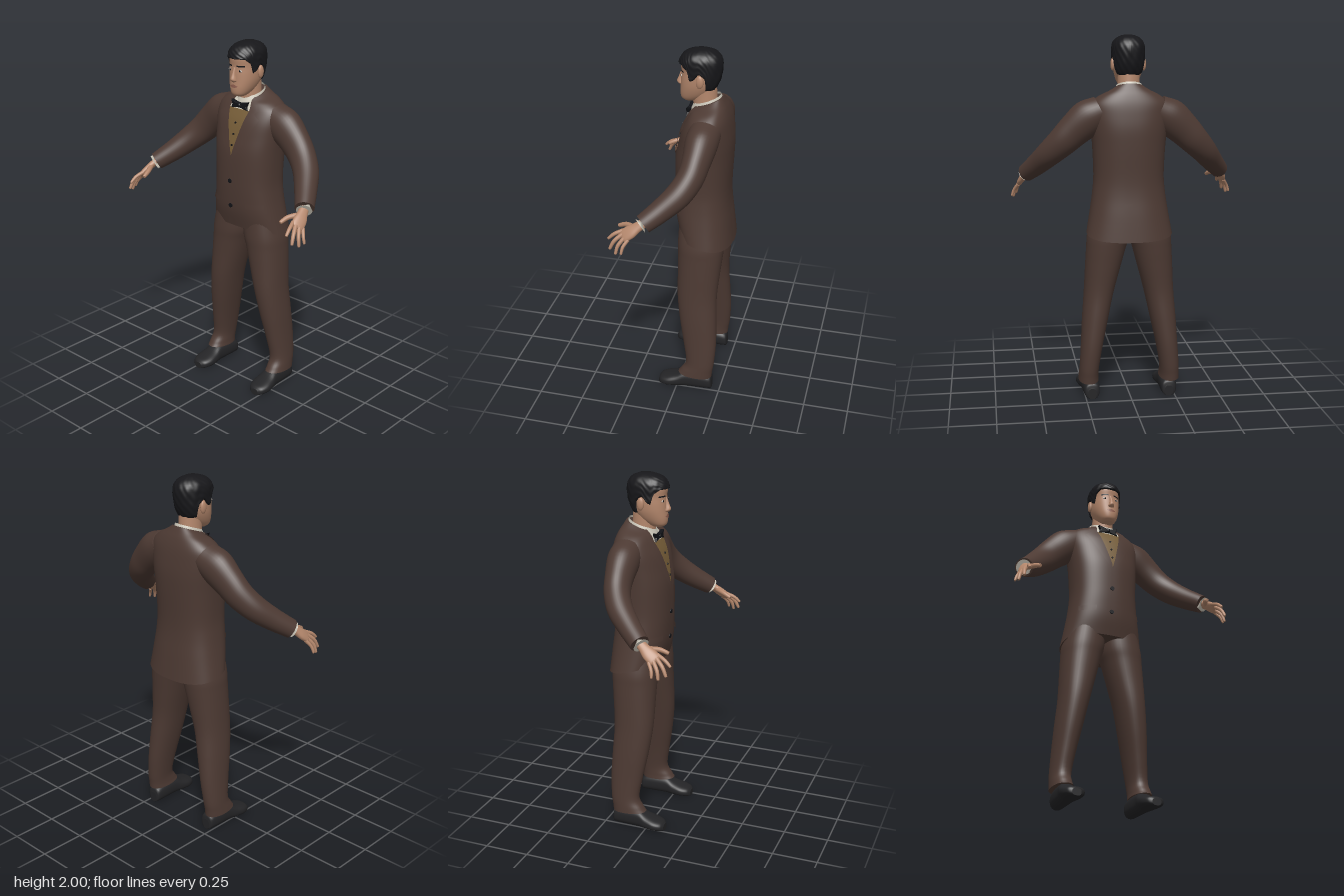
import * as THREE from 'three';

const mat = (name, color, side = THREE.FrontSide) => {
  const m = new THREE.MeshStandardMaterial({ color, side });
  m.name = name;
  return m;
};
const V = (x, y, z) => new THREE.Vector3(x, y, z);
const pw = (v, n) => Math.sign(v) * Math.abs(v) ** (2 / n);

function surface(positions, index) {
  const g = new THREE.BufferGeometry();
  g.setAttribute('position', new THREE.Float32BufferAttribute(positions, 3));
  g.setIndex(index);
  g.computeVertexNormals();
  return g;
}

// Smooth body: each ring has a centre c and two half-axes u and v
function body(rings, n = 2) {
  const curve = k => new THREE.CatmullRomCurve3(rings.map(r => r[k]), false, 'catmullrom', 0.5);
  const [c, u, v] = [curve('c'), curve('u'), curve('v')];
  return { n, count: rings.length, at: t => ({ c: c.getPoint(t), u: u.getPoint(t), v: v.getPoint(t) }) };
}

// Rings stacked upward: [y, half width, z front, z back, front lift, x centre]
const stack = (rows, n) => body(rows.map(([y, w, f, b, lift = 0, x = 0]) =>
  ({ c: V(x, y, (f + b) / 2), u: V(w, 0, 0), v: V(0, lift, (f - b) / 2) })), n);

// Rings along a path: radii [a, b], with a measured along the direction side
function limb(points, radii, side, n = 2) {
  const path = new THREE.CatmullRomCurve3(points, false, 'catmullrom', 0.5);
  return body(points.map((c, i) => {
    const T = path.getTangent(i / (points.length - 1));
    const B = side.clone().addScaledVector(T, -side.dot(T)).normalize();
    return { c, u: B.clone().multiplyScalar(radii[i][0]), v: T.cross(B).multiplyScalar(radii[i][1]) };
  }), n);
}

function loft(b, seg = 32, sub = 4, caps = true) {
  const pos = [], idx = [], rows = (b.count - 1) * sub;
  const m0 = b.at(0.5), m1 = b.at(0.52);
  const dir = m0.u.clone().cross(m0.v).dot(m1.c.clone().sub(m0.c)) > 0 ? -1 : 1;
  for (let i = 0; i <= rows; i++) {
    const r = b.at(i / rows);
    for (let j = 0; j < seg; j++) {
      const a = dir * j / seg * Math.PI * 2;
      pos.push(...r.c.clone().addScaledVector(r.u, pw(Math.cos(a), b.n)).addScaledVector(r.v, pw(Math.sin(a), b.n)));
    }
  }
  for (let i = 0; i < rows; i++) for (let j = 0; j < seg; j++) {
    const p = i * seg + j, q = i * seg + (j + 1) % seg;
    idx.push(p, p + seg, q, q, p + seg, q + seg);
  }
  if (caps) for (const end of [0, rows]) {
    const o = pos.length / 3;
    pos.push(...pos.slice(end * seg * 3, (end + 1) * seg * 3), ...b.at(end / rows).c);
    for (let j = 0; j < seg; j++) {
      const k = o + (j + 1) % seg;
      idx.push(o + seg, end ? k : o + j, end ? o + j : k);
    }
  }
  return surface(pos, idx);
}

// Point on the front (side 1) or back (side -1) of a stacked body
function onBody(b, x, y, side, off) {
  let lo = 0, hi = 1, p;
  for (let k = 0; k < 24; k++) {
    const t = (lo + hi) / 2, r = b.at(t);
    const s = side * (1 - Math.min(1, Math.abs(x / r.u.x)) ** b.n) ** (1 / b.n);
    p = V(x, r.c.y + r.v.y * s, r.c.z + r.v.z * s + side * off);
    if (p.y < y) lo = t; else hi = t;
  }
  return p;
}

// Piecewise-linear lookup in [key, value] pairs
function lookup(table, k) {
  let i = 1;
  while (i < table.length - 1 && table[i][0] < k) i++;
  const [a, b] = [table[i - 1], table[i]];
  return THREE.MathUtils.lerp(a[1], b[1], THREE.MathUtils.clamp((k - a[0]) / (b[0] - a[0]), 0, 1));
}

// Thin panel lying on a body; its edges are [y, x] tables
function panel(b, y0, y1, e0, e1, off = 0.005, side = 1, ny = 16, nx = 8) {
  const pos = [], idx = [];
  for (let i = 0; i <= ny; i++) {
    const y = y0 + (y1 - y0) * i / ny, xs = [lookup(e0, y), lookup(e1, y)].sort((a, c) => a - c);
    for (let j = 0; j <= nx; j++) pos.push(...onBody(b, xs[0] + (xs[1] - xs[0]) * j / nx, y, side, off));
  }
  for (let i = 0; i < ny; i++) for (let j = 0; j < nx; j++) {
    const p = i * (nx + 1) + j, q = p + nx + 1;
    if (side > 0) idx.push(p, p + 1, q, p + 1, q + 1, q);
    else idx.push(p, q, p + 1, p + 1, q, q + 1);
  }
  return surface(pos, idx);
}
const strip = (b, x0, x1, y0, y1, off, side) =>
  panel(b, y0, y1, [[y0, x0], [y1, x0]], [[y0, x1], [y1, x1]], off, side, 6, 6);

export function createModel() {
  const suit = mat('brown suit', 0x4d3a33, THREE.DoubleSide), skin = mat('skin', 0xb4876c);
  const hairMat = mat('black hair', 0x17171a, THREE.DoubleSide), leather = mat('black leather', 0x242426);
  const linen = mat('shirt linen', 0xcdc8ba, THREE.DoubleSide), gold = mat('ochre waistcoat', 0x765d38);
  const dark = mat('black cloth', 0x121317), lip = mat('lip', 0x8f5f50), white = mat('eye white', 0xc9bfb5);
  const model = new THREE.Group();
  const add = (name, geo, material, p) => {
    const m = new THREE.Mesh(geo, material);
    m.name = name;
    if (p) m.position.copy(p);
    model.add(m);
    return m;
  };
  const ball = (name, p, sx, sy, sz, material) =>
    add(name, new THREE.SphereGeometry(1, 20, 14), material, p).scale.set(sx, sy, sz);

  // Jacket
  const torso = stack([
    [0.935, 0.235, 0.02, -0.275, 0.035], [1.05, 0.215, 0.042, -0.262, 0.015], [1.15, 0.2, 0.05, -0.25],
    [1.25, 0.192, 0.053, -0.248], [1.4, 0.198, 0.05, -0.255], [1.5, 0.207, 0.032, -0.257],
    [1.58, 0.215, 0.01, -0.25], [1.64, 0.208, -0.018, -0.24], [1.68, 0.165, -0.035, -0.225, -0.008],
    [1.705, 0.11, -0.045, -0.208, -0.018], [1.722, 0.076, -0.05, -0.195, -0.025]], 2.4);
  add('jacket', loft(torso, 64, 5), suit);
  add('frontOverlap', panel(torso, 0.99, 1.39, [[0.99, 0.02], [1.1, -0.018], [1.39, -0.008]],
    [[0.99, 0.06], [1.39, 0.03]], 0.004), suit);
  add('backVent', strip(torso, 0, 0.045, 0.91, 1.11, 0.006, -1), suit);
  add('waistcoat', panel(torso, 1.39, 1.645, [[1.39, -0.002], [1.645, -0.075]], [[1.39, 0.002], [1.645, 0.075]], 0.003), gold);
  add('shirtFront', panel(torso, 1.64, 1.695, [[1.64, -0.072], [1.695, -0.055]], [[1.64, 0.072], [1.695, 0.055]], 0.004), linen);
  const button = (y, x, r) => {
    add('button', new THREE.CylinderGeometry(r, r, 0.006, 16), dark, onBody(torso, x, y, 1, 0.006)).rotation.x = Math.PI / 2;
  };
  [1.245, 1.1].forEach(y => button(y, -0.006, 0.012));
  [1.45, 1.51, 1.57].forEach(y => button(y, 0, 0.005));

  // Shirt collar and bow tie
  add('shirtCollar', loft(stack([[1.675, 0.078, -0.018, -0.19, -0.028], [1.71, 0.075, -0.03, -0.19, -0.03],
    [1.732, 0.07, -0.04, -0.184, -0.026]], 2), 40, 4, false), linen);
  const bow = new THREE.Shape([[-0.055, -0.02], [-0.045, 0], [-0.055, 0.022], [-0.012, 0.01], [0.012, 0.01],
    [0.055, 0.022], [0.045, 0], [0.055, -0.02], [0.012, -0.01], [-0.012, -0.01]].map(p => new THREE.Vector2(...p)));
  add('bowTie', new THREE.ExtrudeGeometry(bow, { depth: 0.014, bevelSize: 0.003, bevelThickness: 0.004, bevelSegments: 2 }),
    dark, V(0, 1.66, -0.026));
  ball('bowKnot', V(0, 1.66, -0.014), 0.013, 0.014, 0.013, dark);

  // Head and neck
  add('neck', loft(stack([[1.64, 0.064, -0.04, -0.17], [1.72, 0.06, -0.035, -0.165], [1.8, 0.06, -0.03, -0.16]]), 32), skin);
  const head = stack([[1.716, 0.028, 0.012, -0.05], [1.73, 0.045, 0.028, -0.08], [1.76, 0.062, 0.033, -0.125],
    [1.8, 0.075, 0.031, -0.155], [1.84, 0.08, 0.029, -0.172], [1.88, 0.081, 0.026, -0.18],
    [1.92, 0.082, 0.03, -0.182], [1.95, 0.077, 0.02, -0.175], [1.975, 0.058, -0.005, -0.155], [1.99, 0.028, -0.05, -0.12]], 2.2);
  add('head', loft(head, 48, 4), skin);
  add('nose', loft(stack([[1.797, 0.01, 0.04, 0.01], [1.804, 0.018, 0.048, 0.01], [1.815, 0.016, 0.053, 0.01],
    [1.84, 0.01, 0.043, 0.01], [1.875, 0.008, 0.03, 0.01]]), 20), skin);
  add('mouth', panel(head, 1.766, 1.783, [[1.766, -0.01], [1.774, -0.027], [1.783, -0.007]],
    [[1.766, 0.01], [1.774, 0.027], [1.783, 0.007]], 0.003), lip);

  // Hair: an uneven shell over the skull with a shaped lower edge
  const edge = [[0, 1.918], [0.7, 1.92], [1.05, 1.895], [1.22, 1.84], [1.42, 1.85], [1.6, 1.885], [1.9, 1.86], [2.15, 1.79], [3.15, 1.77]];
  const hp = [], hi = [], seg = 96, rows = 20, tOf = y => {
    let lo = 0, up = 1;
    for (let k = 0; k < 20; k++) { const t = (lo + up) / 2; if (head.at(t).c.y < y) lo = t; else up = t; }
    return lo;
  };
  for (let i = 0; i <= rows; i++) for (let j = 0; j <= seg; j++) {
    const a = (j / seg * 2 - 1) * Math.PI, f = Math.min(1, i / (rows - 1));
    const r = head.at(tOf(THREE.MathUtils.lerp(lookup(edge, Math.abs(a)), 1.99, f)));
    const bump = 0.02 * Math.sin(a * 13 + f * 9) * Math.sin(f * 17 + a * 3);
    const k = i === rows ? 0 : i === 0 ? 0.97 : 1.1 + bump;
    const p = r.c.addScaledVector(r.u, pw(Math.sin(a), 2.2) * k).addScaledVector(r.v, pw(Math.cos(a), 2.2) * k);
    hp.push(p.x, p.y + 0.01 * f, p.z);
  }
  for (let i = 0; i < rows; i++) for (let j = 0; j < seg; j++) {
    const p = i * (seg + 1) + j, q = p + seg + 1;
    hi.push(p, p + 1, q, p + 1, q + 1, q);
  }
  add('hair', surface(hp, hi), hairMat);

  for (const [s, side] of [[1, 'left'], [-1, 'right']]) {
    const P = ([x, y, z]) => V(s * x, y, z);

    // Face details
    ball(side + 'Ear', P([0.085, 1.845, -0.088]), 0.012, 0.035, 0.02, skin);
    ball(side + 'Eye', onBody(head, s * 0.034, 1.858, 1, -0.001), 0.014, 0.007, 0.004, white);
    ball(side + 'Iris', onBody(head, s * 0.034, 1.858, 1, 0.001), 0.006, 0.006, 0.004, dark);
    add(side + 'Eyebrow', strip(head, s * 0.016, s * 0.056, 1.879, 1.887, 0.003), hairMat);

    // Lapel and pocket flap
    add(side + 'Lapel', panel(torso, 1.37, 1.705,
      [[1.37, s * 0.004], [1.4, s * 0.004], [1.645, s * 0.07], [1.705, s * 0.06]],
      [[1.37, s * 0.012], [1.45, s * 0.062], [1.605, s * 0.142], [1.63, s * 0.105], [1.645, s * 0.12], [1.705, s * 0.085]],
      0.008, 1, 40), suit);
    add(side + 'PocketFlap', strip(torso, s * 0.095, s * 0.182, 1.1, 1.13, 0.007), suit);

    // Sleeve and shirt cuff
    const up = P([0.7, 0.7, 0]);
    add(side + 'Sleeve', loft(limb(
      [[0.15, 1.6, -0.135], [0.225, 1.56, -0.13], [0.3, 1.495, -0.122], [0.365, 1.43, -0.105], [0.43, 1.365, -0.06], [0.49, 1.3, 0.015], [0.548, 1.242, 0.094]].map(P),
      [[0.085, 0.085], [0.1, 0.085], [0.09, 0.074], [0.08, 0.07], [0.07, 0.068], [0.06, 0.06], [0.05, 0.052]], up), 36, 5), suit);
    add(side + 'Cuff', loft(limb([[0.535, 1.255, 0.077], [0.555, 1.235, 0.106]].map(P),
      [[0.043, 0.045], [0.041, 0.043]], up), 28, 2), linen);

    // Hand: palm, four fingers and thumb
    const across = P([-0.035, 0.028, 0.04]);
    add(side + 'Palm', loft(limb([[0.545, 1.248, 0.09], [0.558, 1.225, 0.122], [0.569, 1.202, 0.153], [0.577, 1.18, 0.185], [0.581, 1.172, 0.197]].map(P),
      [[0.026, 0.021], [0.028, 0.019], [0.036, 0.018], [0.036, 0.014], [0.028, 0.008]], across, 2.3), 28), skin);
    const fingers = [
      [[0.557, 1.198, 0.195], [0.57, 1.178, 0.24], [0.576, 1.152, 0.27]],
      [[0.573, 1.185, 0.195], [0.593, 1.15, 0.235], [0.602, 1.108, 0.257]],
      [[0.585, 1.173, 0.182], [0.608, 1.133, 0.212], [0.619, 1.092, 0.222]],
      [[0.594, 1.166, 0.162], [0.616, 1.132, 0.184], [0.628, 1.1, 0.19]],
      [[0.55, 1.22, 0.14], [0.518, 1.212, 0.19], [0.506, 1.195, 0.232]]];
    fingers.forEach((f, i) => {
      const [a, b, c] = f.map(P), end = c.clone().addScaledVector(c.clone().sub(b).normalize(), 0.005);
      const r = [0.0115, 0.012, 0.0115, 0.01, 0.015][i];
      add(side + (i < 4 ? 'Finger' : 'Thumb'), loft(limb([a, b, c, end],
        [r, r * 0.88, r * 0.68, r * 0.25].map(k => [k, k]), across), 14), skin);
    });

    // Trouser leg: [y, inner x, outer x, z front, z back]
    const leg = [[1.02, -0.01, 0.21, 0.015, -0.235], [0.92, -0.003, 0.231, 0.018, -0.24], [0.85, 0.018, 0.236, 0.015, -0.235],
      [0.75, 0.045, 0.242, 0.013, -0.225], [0.6, 0.085, 0.25, 0.01, -0.213], [0.45, 0.118, 0.262, -0.008, -0.218],
      [0.3, 0.15, 0.271, -0.035, -0.222], [0.18, 0.171, 0.279, -0.052, -0.215], [0.125, 0.174, 0.283, -0.025, -0.207],
      [0.095, 0.172, 0.285, -0.008, -0.203]].reverse();
    add(side + 'TrouserLeg', loft(stack(leg.map(([y, i, o, f, b]) =>
      [y, (o - i) / 2, f, b, y < 0.1 ? 0.006 : 0, s * (o + i) / 2]), 2.2), 36, 5), suit);

    // Shoe: [z, half width, height]
    const shoe = [[-0.203, 0.024, 0.06], [-0.192, 0.041, 0.09], [-0.13, 0.047, 0.105], [-0.05, 0.049, 0.105],
      [0, 0.058, 0.08], [0.05, 0.062, 0.064], [0.09, 0.048, 0.052], [0.107, 0.026, 0.038]];
    add(side + 'Shoe', loft(body(shoe.map(([z, w, h]) =>
      ({ c: V(s * (0.222 + z * 0.03), h / 2 + 0.003, z), u: V(w, 0, 0), v: V(0, h / 2, 0) })), 2.5), 32), leather);
  }
  return model;
}
